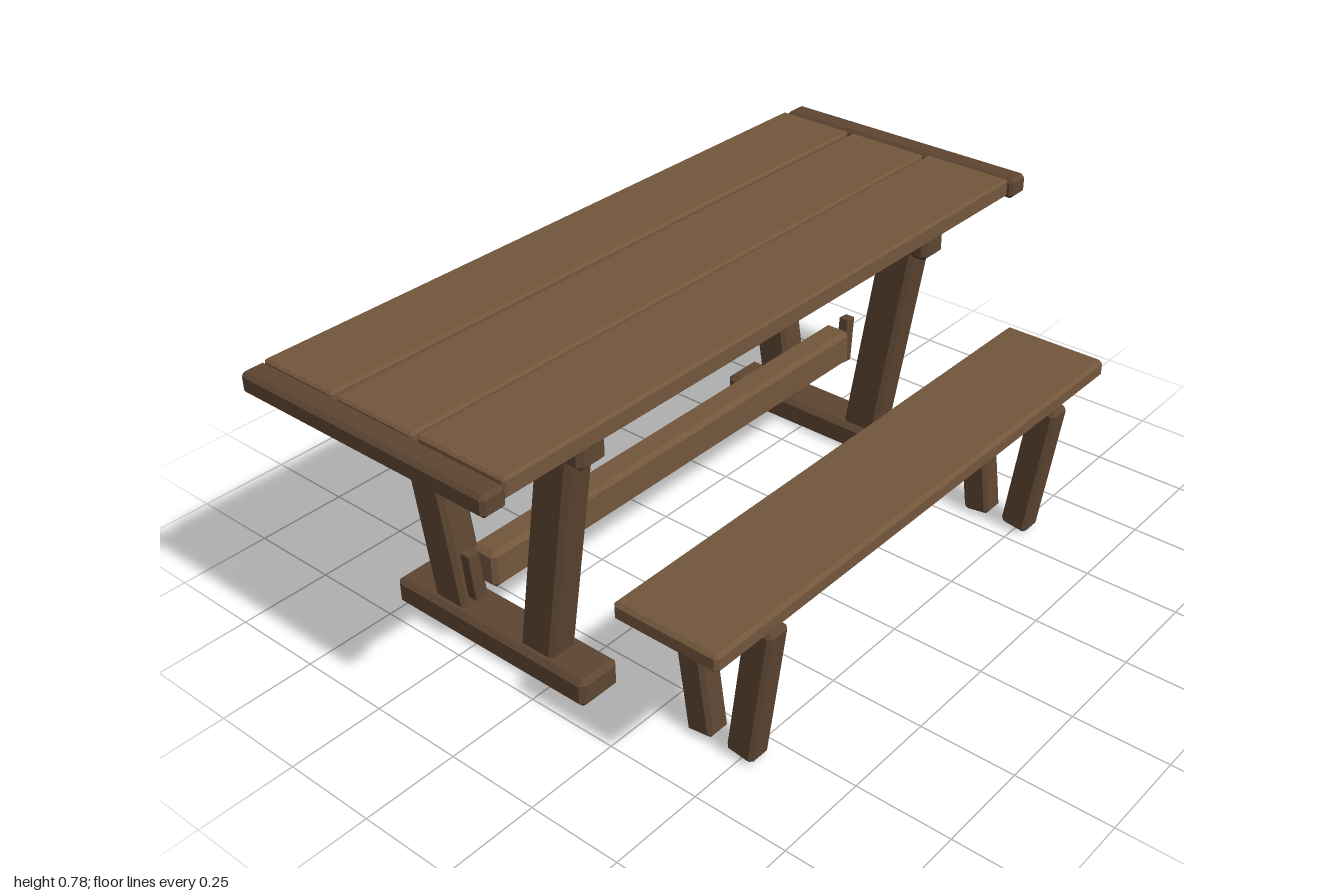
import * as THREE from 'three';
import { ConvexGeometry } from 'three/addons/geometries/ConvexGeometry.js';

const lightWood = new THREE.MeshStandardMaterial({ color: 0x73563c, flatShading: true });
const darkWood = new THREE.MeshStandardMaterial({ color: 0x5e4632, flatShading: true });

// Timber with every edge chamfered by c
function timber(name, w, h, d, c, material) {
  const points = [];
  for (const x of [-1, 1]) for (const y of [-1, 1]) for (const z of [-1, 1]) {
    for (let axis = 0; axis < 3; axis++) {
      const inset = [c, c, c];
      inset[axis] = 0;
      points.push(new THREE.Vector3(
        x * (w / 2 - inset[0]), y * (h / 2 - inset[1]), z * (d / 2 - inset[2])));
    }
  }
  const mesh = new THREE.Mesh(new ConvexGeometry(points), material);
  mesh.name = name;
  return mesh;
}

// Timber filling the given [min, max] ranges
function block(name, [x0, x1], [y0, y1], [z0, z1], c, material) {
  const mesh = timber(name, x1 - x0, y1 - y0, z1 - z0, c, material);
  mesh.position.set((x0 + x1) / 2, (y0 + y1) / 2, (z0 + z1) / 2);
  return mesh;
}

// Sloping leg whose axis runs from (y0, z0) to (y1, z1)
function leg(name, x, width, depth, [y0, z0], [y1, z1], c) {
  const mesh = timber(name, width, Math.hypot(y1 - y0, z1 - z0), depth, c, darkWood);
  mesh.position.set(x, (y0 + y1) / 2, (z0 + z1) / 2);
  mesh.rotation.x = Math.atan2(z1 - z0, y1 - y0);
  return mesh;
}

function createTable() {
  const table = new THREE.Group();
  table.name = 'table';
  const midZ = -0.2;

  // Top: three planks between two end battens
  const planks = [[-0.594, -0.362, 0.777], [-0.348, -0.106, 0.777], [-0.091, 0.168, 0.782]];
  for (const [z0, z1, top] of planks) {
    table.add(block('tabletopPlank', [-0.93, 0.93], [top - 0.05, top], [z0, z1], 0.006, lightWood));
  }

  for (const s of [-1, 1]) {
    const span = (a, b) => (s > 0 ? [a, b] : [-b, -a]);
    table.add(block('endBatten', span(0.932, 1), [0.723, 0.779], [-0.587, 0.18], 0.01, darkWood));

    // Trestle: foot, splayed legs and top bearer
    table.add(block('trestleFoot', span(0.58, 0.704), [0, 0.077], [-0.52, 0.12], 0.013, darkWood));
    table.add(block('trestleBearer', span(0.596, 0.684), [0.65, 0.719], [-0.534, 0.134], 0.013, darkWood));
    for (const side of [-1, 1]) {
      table.add(leg('trestleLeg', s * 0.64, 0.086, 0.107,
        [0.03, midZ + side * 0.14], [0.725, midZ + side * 0.253], 0.012));
    }

    // Wedge beside the end of the stretcher
    const wedge = timber('wedge', 0.033, 0.135, 0.03, 0.002, darkWood);
    wedge.position.set(s * 0.723, 0.253, midZ);
    wedge.rotation.z = -s * 0.09;
    table.add(wedge);
  }

  table.add(block('stretcher', [-0.692, 0.692], [0.204, 0.305], [-0.241, -0.16], 0.012, lightWood));
  return table;
}

function createBench() {
  const bench = new THREE.Group();
  bench.name = 'bench';
  bench.add(block('benchSeat', [-0.775, 0.775], [0.402, 0.45], [0.297, 0.586], 0.009, lightWood));
  for (const x of [-0.57, 0.57]) {
    for (const side of [-1, 1]) {
      bench.add(leg('benchLeg', x, 0.067, 0.076,
        [0.008, 0.441 + side * 0.057], [0.398, 0.441 + side * 0.11], 0.01));
    }
  }
  return bench;
}

export function createModel() {
  const model = new THREE.Group();
  model.name = 'picnicTableWithBench';
  model.add(createTable(), createBench());
  return model;
}
